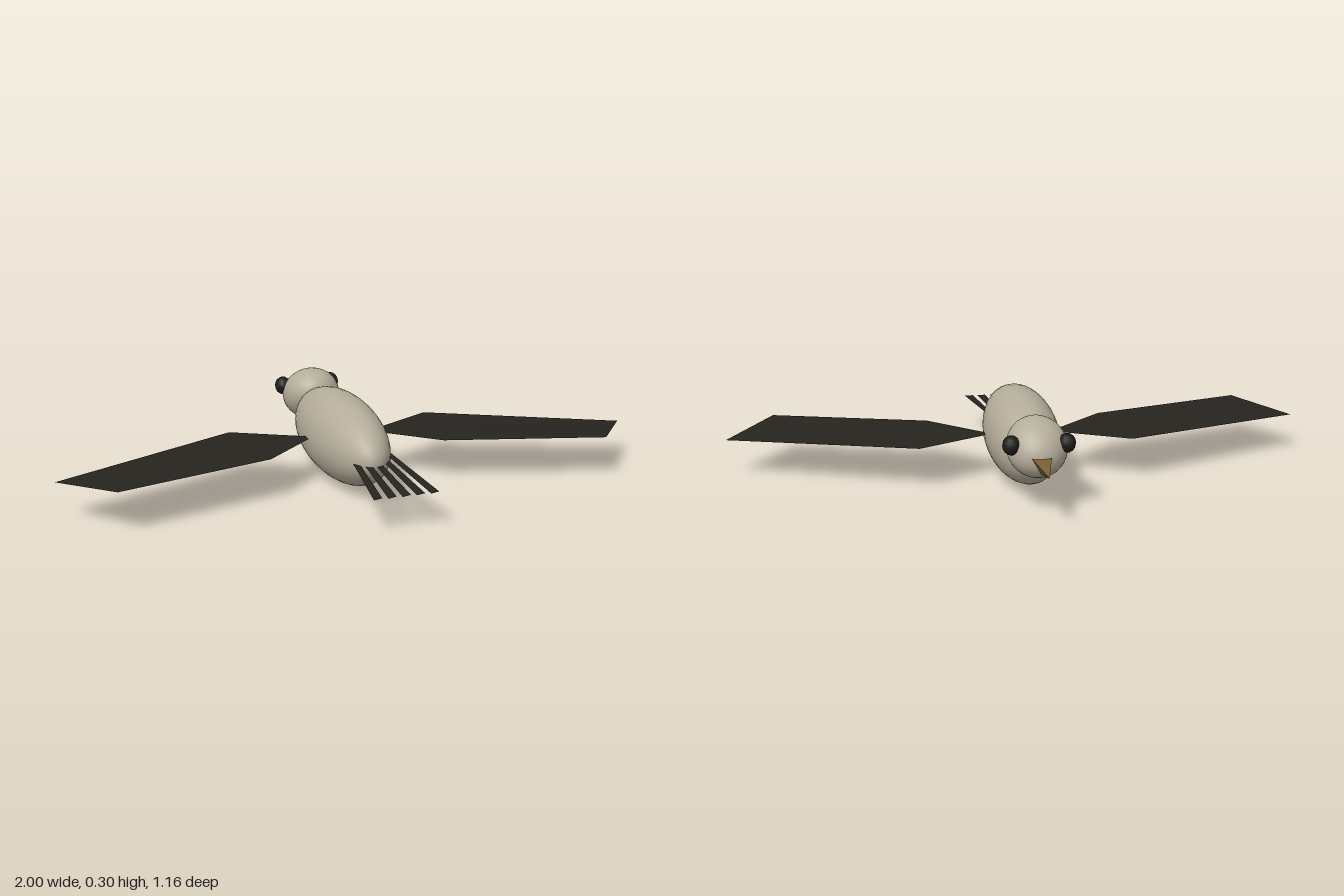
import * as THREE from 'three';

const material = (color, options = {}) => new THREE.MeshStandardMaterial({ color, ...options });
const plumage = material(0xb5ad9b);
const feather = material(0x26241f, { side: THREE.DoubleSide, flatShading: true });
const eyeBlack = material(0x1c1c1a);
const horn = material(0x7a6030, { flatShading: true });

function ellipsoid(name, radii, position, mat, segments, rings) {
  const mesh = new THREE.Mesh(new THREE.SphereGeometry(1, segments, rings), mat);
  mesh.name = name;
  mesh.scale.set(...radii);
  mesh.position.set(...position);
  return mesh;
}

// Thin sheet fanned out from its first corner
function sheet(name, corners) {
  const geometry = new THREE.BufferGeometry();
  geometry.setAttribute('position', new THREE.Float32BufferAttribute(corners.flat(), 3));
  const index = [];
  for (let i = 1; i < corners.length - 1; i++) index.push(0, i + 1, i);
  geometry.setIndex(index);
  geometry.computeVertexNormals();
  const mesh = new THREE.Mesh(geometry, feather);
  mesh.name = name;
  return mesh;
}

export function createModel() {
  const bird = new THREE.Group();
  bird.name = 'bird';

  // Body, long axis along z
  const body = ellipsoid('body', [0.125, 0.345, 0.146], [0, 0.151, 0], plumage, 32, 18);
  body.rotation.x = Math.PI / 2;
  bird.add(body);

  // Head, tipped down towards the beak
  const head = ellipsoid('head', [0.1, 0.09, 0.115], [0, 0.209, -0.335], plumage, 32, 20);
  head.rotation.x = -0.43;
  bird.add(head);

  // Three-sided beak: flat on top, ridge below
  const beakGeometry = new THREE.ConeGeometry(0.047, 0.18, 3);
  beakGeometry.rotateX(-Math.PI / 2);
  const lowest = beakGeometry.attributes.position;
  let ridgeY = 0;
  for (let i = 0; i < lowest.count; i++) ridgeY = Math.min(ridgeY, lowest.getY(i));
  if (ridgeY > -0.04) beakGeometry.rotateZ(Math.PI);
  const beak = new THREE.Mesh(beakGeometry, horn);
  beak.name = 'beak';
  beak.position.set(0, 0.183, -0.49);
  bird.add(beak);

  // Eyes and wings on both sides
  for (const [side, s] of [['left', 1], ['right', -1]]) {
    bird.add(ellipsoid(side + 'Eye', [0.029, 0.032, 0.032], [s * 0.09, 0.232, -0.384], eyeBlack, 12, 8));
    const corners = [
      [s * 0.1, 0.153, -0.005],
      [s * 0.36, 0.155, -0.14],
      [s * 1.0, 0.134, 0.12],
      [s * 0.84, 0.153, 0.33],
      [s * 0.305, 0.153, 0.18],
    ];
    bird.add(sheet(side + 'Wing', s > 0 ? corners : corners.reverse()));
  }

  // Five tail feathers, spreading and dropping backwards
  const tail = new THREE.Group();
  tail.name = 'tail';
  for (let i = -2; i <= 2; i++) {
    const root = 0.015 + i * 0.029;
    const tip = 0.015 + i * 0.0475;
    tail.add(sheet('tailFeather', [
      [root - 0.009, 0.156, 0.2],
      [root + 0.009, 0.156, 0.2],
      [tip + 0.015, 0.124, 0.572],
      [tip - 0.015, 0.123, 0.579],
    ]));
  }
  bird.add(tail);

  return bird;
}
